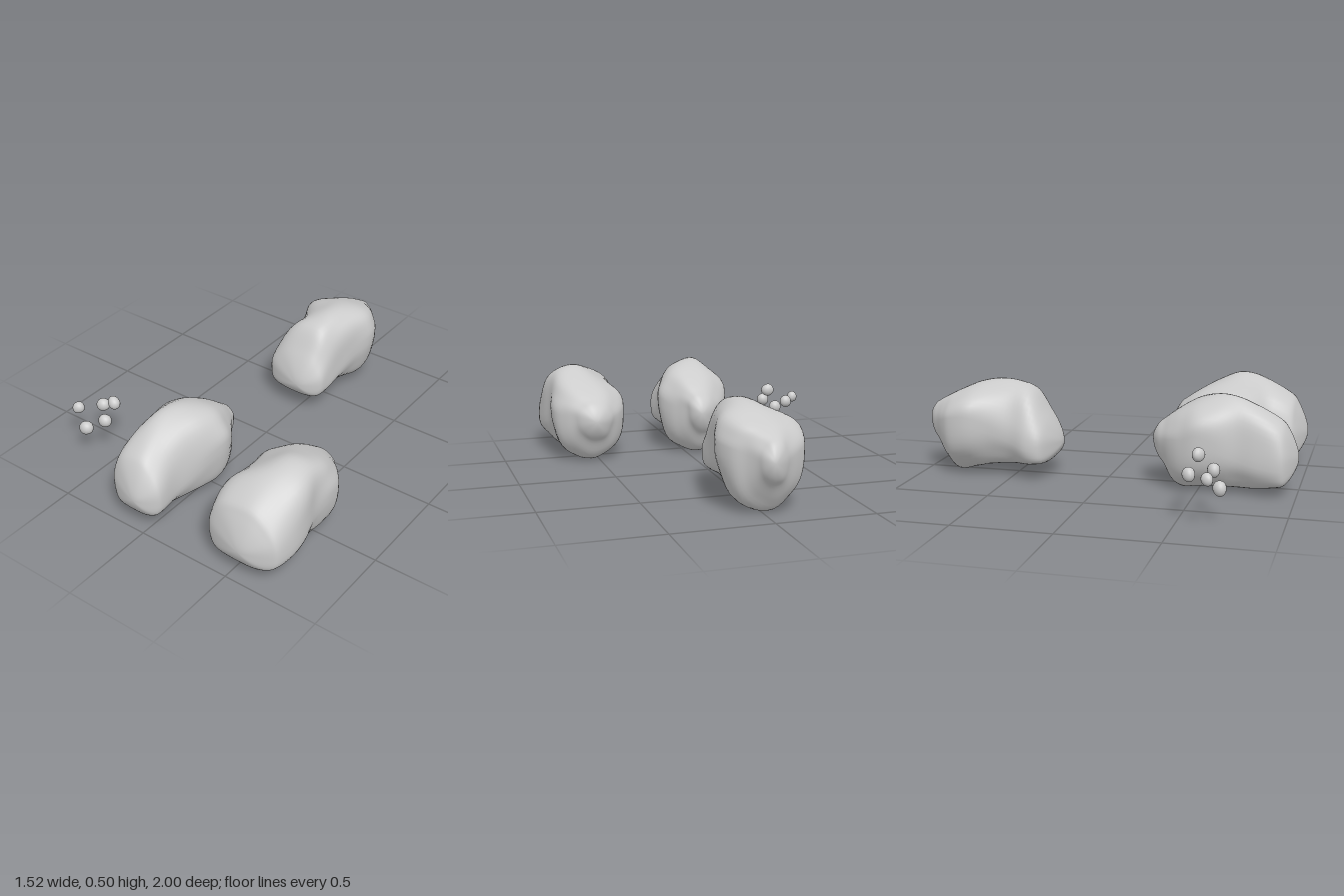
import * as THREE from 'three';

const stone = new THREE.MeshStandardMaterial({ color: 0xcccccc });

// Interpolates one column of the station table at t in 0..1
function sample(rows, t, col) {
  const p = t * (rows.length - 1);
  const i = Math.min(Math.floor(p), rows.length - 2), f = p - i;
  const at = (k) => rows[Math.max(0, Math.min(rows.length - 1, k))][col];
  const a = at(i - 1), b = at(i), c = at(i + 1), d = at(i + 2);
  return b + 0.5 * f * (c - a + f * (2 * a - 5 * b + 4 * c - d + f * (3 * (b - c) + d - a)));
}

// Lofts a boulder along z; station = [z, left x, right x, bottom y, top y, ridge x, y of widest point]
function boulder(name, rows, seed) {
  const rings = 56, sides = 48, pos = [], index = [];
  const zBack = rows[0][0], zFront = rows[rows.length - 1][0];
  const power = (v, e) => Math.sign(v) * Math.abs(v) ** e;
  for (let i = 0; i <= rings; i++) {
    const t = (1 - Math.cos((i / rings) * Math.PI)) / 2;
    const [z, x0, x1, yb, yt, ridge, yw] = [0, 1, 2, 3, 4, 5, 6].map((c) => sample(rows, t, c));
    // rounded closing of both ends
    const d = Math.max(0, Math.min(1, (z - zBack) / 0.05, (zFront - z) / 0.075));
    const cap = Math.sqrt(1 - (1 - d) ** 2);
    const mid = (x0 + x1) / 2, half = (x1 - x0) / 2;
    for (let j = 0; j < sides; j++) {
      const a = (j / sides) * Math.PI * 2;
      // rounder crown; underside goes from tapered at the back to full at the front
      const e = Math.sin(a) > 0 ? 0.95 : 1.06 - 0.42 * t;
      const c = power(Math.cos(a), e), s = power(Math.sin(a), e);
      // gentle lumps and hollows
      const lump = 1 + 0.045 * Math.sin(2 * a) ** 2 * Math.sin(3 * a + 9 * t + seed)
        + 0.01 * Math.sin(5 * a - 14 * t + seed);
      const x = mid + cap * (half * c * lump + (ridge - mid) * Math.max(0, s) ** 2);
      const y = yw + cap * s * lump * (s > 0 ? yt - yw : yw - yb);
      pos.push(x, Math.max(0, y), z);
      if (i < rings) {
        const p = i * sides + j, q = i * sides + (j + 1) % sides;
        index.push(p, q, p + sides, q, q + sides, p + sides);
      }
    }
  }
  const geo = new THREE.BufferGeometry();
  geo.setAttribute('position', new THREE.Float32BufferAttribute(pos, 3));
  geo.setIndex(index);
  geo.computeVertexNormals();
  const mesh = new THREE.Mesh(geo, stone);
  mesh.name = name;
  return mesh;
}

// Small, slightly lumpy egg-shaped stone
function pebble(x, y, z, turn, size) {
  const geo = new THREE.SphereGeometry(1, 20, 14);
  const p = geo.attributes.position;
  for (let i = 0; i < p.count; i++) {
    const k = 1 + 0.06 * Math.sin(3 * p.getX(i) + turn) * Math.cos(2 * p.getY(i) - turn);
    p.setXYZ(i, p.getX(i) * k, p.getY(i) * k, p.getZ(i) * k);
  }
  geo.computeVertexNormals();
  const mesh = new THREE.Mesh(geo, stone);
  mesh.scale.set(0.036, 0.035, 0.03).multiplyScalar(size);
  mesh.position.set(x, y, z);
  mesh.rotation.y = turn;
  mesh.name = 'pebble';
  return mesh;
}

export function createModel() {
  const group = new THREE.Group();
  group.name = 'rocks';

  group.add(boulder('narrowBoulder', [
    [0.25, -0.10, 0.0, 0.17, 0.31, -0.05, 0.25],
    [0.31, -0.145, 0.015, 0.125, 0.35, -0.04, 0.26],
    [0.36, -0.19, 0.05, 0.04, 0.39, -0.04, 0.27],
    [0.42, -0.23, 0.095, 0.005, 0.43, -0.05, 0.28],
    [0.50, -0.26, 0.13, 0.01, 0.47, -0.06, 0.31],
    [0.60, -0.25, 0.11, 0.02, 0.495, -0.08, 0.28],
    [0.70, -0.22, 0.08, 0.025, 0.49, -0.10, 0.23],
    [0.80, -0.23, 0.06, 0.03, 0.45, -0.10, 0.20],
    [0.90, -0.24, 0.065, 0.045, 0.39, -0.09, 0.18],
    [0.95, -0.22, 0.06, 0.06, 0.34, -0.08, 0.18],
    [1.0, -0.15, 0.045, 0.09, 0.28, -0.05, 0.18],
  ], 0.5));

  group.add(boulder('wideBoulder', [
    [0.25, 0.48, 0.60, 0.17, 0.30, 0.55, 0.24],
    [0.31, 0.435, 0.64, 0.125, 0.34, 0.55, 0.25],
    [0.36, 0.39, 0.69, 0.04, 0.375, 0.56, 0.26],
    [0.42, 0.355, 0.73, 0.005, 0.41, 0.57, 0.27],
    [0.50, 0.335, 0.74, 0.01, 0.45, 0.59, 0.28],
    [0.60, 0.34, 0.73, 0.02, 0.49, 0.60, 0.24],
    [0.70, 0.33, 0.75, 0.02, 0.485, 0.59, 0.21],
    [0.80, 0.315, 0.755, 0.03, 0.45, 0.55, 0.19],
    [0.90, 0.335, 0.74, 0.045, 0.39, 0.54, 0.18],
    [0.94, 0.365, 0.715, 0.06, 0.34, 0.55, 0.18],
    [0.99, 0.45, 0.68, 0.09, 0.28, 0.58, 0.18],
  ], 0.5));

  group.add(boulder('backBoulder', [
    [-1.0, -0.04, 0.045, 0.20, 0.34, 0.0, 0.28],
    [-0.94, -0.09, 0.06, 0.16, 0.375, -0.01, 0.28],
    [-0.88, -0.16, 0.10, 0.07, 0.41, 0.0, 0.30],
    [-0.82, -0.21, 0.16, 0.01, 0.44, 0.01, 0.32],
    [-0.72, -0.23, 0.195, 0.025, 0.48, 0.02, 0.33],
    [-0.61, -0.19, 0.165, 0.05, 0.50, 0.03, 0.29],
    [-0.50, -0.18, 0.145, 0.065, 0.495, 0.03, 0.24],
    [-0.40, -0.215, 0.14, 0.07, 0.46, 0.01, 0.20],
    [-0.32, -0.20, 0.135, 0.08, 0.34, -0.01, 0.19],
    [-0.255, -0.10, 0.12, 0.10, 0.27, 0.02, 0.18],
  ], 1.2));

  // Loose ring of small stones
  const pebbles = new THREE.Group();
  pebbles.name = 'pebbles';
  [
    [-0.655, 0.225, 0.55, 0.5, 1], [-0.55, 0.295, 0.575, -0.3, 1], [-0.735, 0.23, 0.65, 0.7, 0.9],
    [-0.55, 0.225, 0.65, 0.3, 1], [-0.645, 0.165, 0.695, 0.4, 1.06],
  ].forEach((p) => pebbles.add(pebble(...p)));
  group.add(pebbles);
  return group;
}
